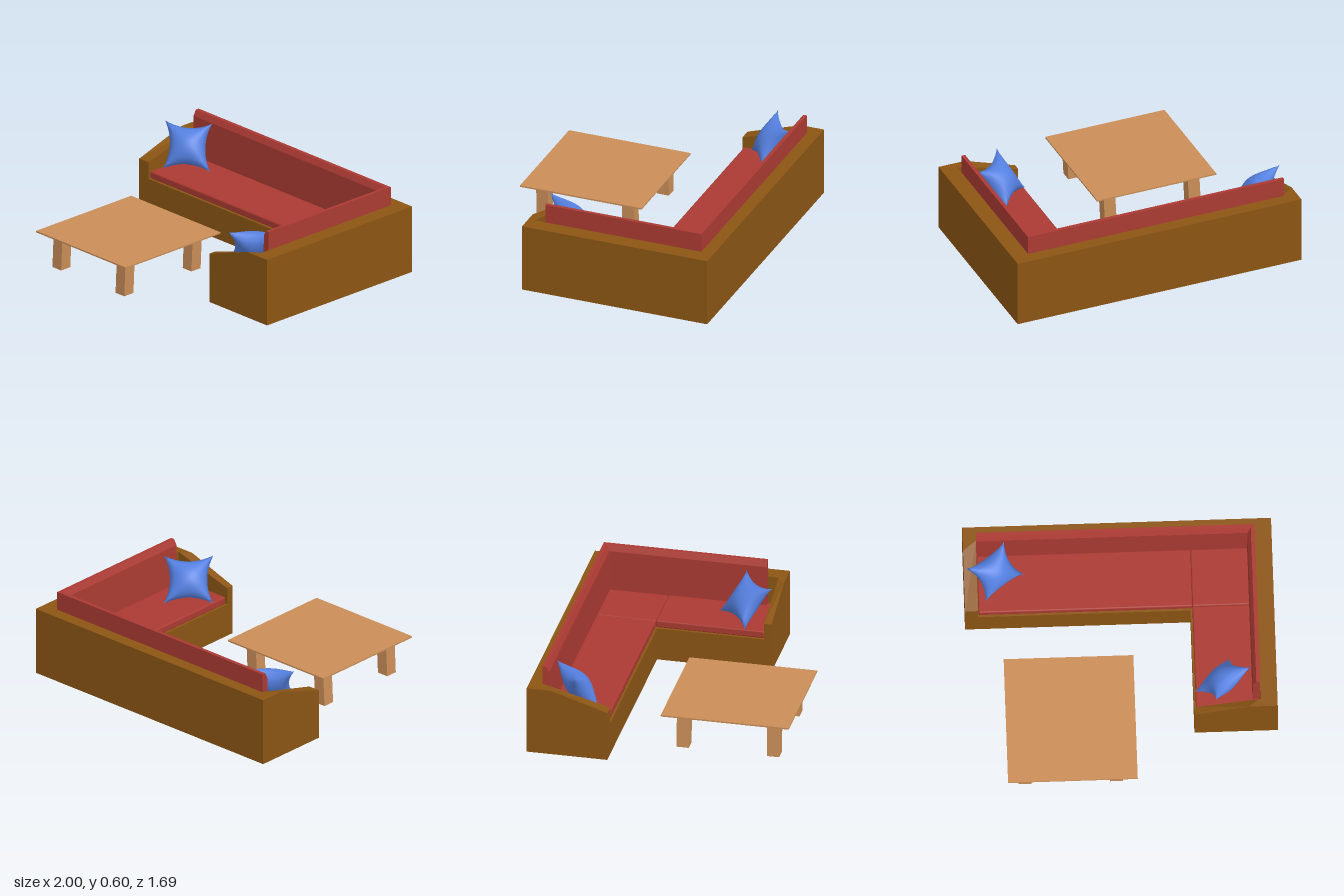
import * as THREE from 'three';
import { mergeGeometries, mergeVertices } from 'three/addons/utils/BufferGeometryUtils.js';
import { RoundedBoxGeometry } from 'three/addons/geometries/RoundedBoxGeometry.js';

const material = (color) => new THREE.MeshStandardMaterial({ color });
const wood = material(0x8b5514);
const fabric = material(0xaa3a32);
const pillowCloth = material(0x5580e0);
const tableWood = material(0xca8e58);

function add(parent, name, geometry, mat) {
  const mesh = new THREE.Mesh(geometry, mat);
  mesh.name = name;
  parent.add(mesh);
  return mesh;
}

const shapeOf = (points) => new THREE.Shape(points.map(([x, y]) => new THREE.Vector2(x, y)));

// Floor outline of [x, z] points raised from y0 to y1
function slab(points, y0, y1) {
  return new THREE.ExtrudeGeometry(shapeOf(points.map(([x, z]) => [x, -z])), { depth: y1 - y0, bevelEnabled: false })
    .rotateX(-Math.PI / 2).translate(0, y0, 0);
}

// Upright profile of [distance from wall, height]; 'z' faces +z and runs to -x, 'x' faces -x and runs to -z
function upright(points, depth, facing, origin, adjust) {
  const geo = new THREE.ExtrudeGeometry(shapeOf(points), { depth, bevelEnabled: false });
  if (adjust) {
    adjust(geo.attributes.position);
    geo.computeVertexNormals();
  }
  return geo.rotateY(facing === 'z' ? -Math.PI / 2 : Math.PI).translate(...origin);
}

// Armrest with a sloping top whose upper edge runs back towards the inner side
function armrest(length, depth, facing, origin, innerAt) {
  const breakAt = 0.075;
  const profile = [[0, 0], [length, 0], [length, 0.115], [breakAt, 0.235], [0, 0.235]];
  return upright(profile, depth, facing, origin, (p) => {
    for (let i = 0; i < p.count; i++) {
      const isBreak = Math.abs(p.getX(i) - breakAt) < 1e-4;
      if (isBreak && Math.abs(p.getZ(i) - innerAt) < 1e-4) p.setX(i, 0.008);
    }
  });
}

// Seat cushion between floor limits
function cushion(x0, x1, z0, z1) {
  return new RoundedBoxGeometry(x1 - x0, 0.05, z1 - z0, 2, 0.01)
    .translate((x0 + x1) / 2, 0.265, (z0 + z1) / 2);
}

// Plump pillow with pinched edges; across and up are its side vectors
function pillow(centre, across, up) {
  const n = 16;
  const halves = [1, -1].map((side) => {
    const g = new THREE.PlaneGeometry(2, 2, n, n);
    if (side < 0) g.rotateY(Math.PI);
    const p = g.attributes.position;
    for (let i = 0; i < p.count; i++) {
      const s = p.getX(i), t = p.getY(i);
      const a = Math.max(0, 1 - s * s), b = Math.max(0, 1 - t * t);
      p.setXYZ(i, 0.5 * s * (1 - 0.24 * b), 0.5 * t * (1 - 0.24 * a), side * 0.08 * Math.pow(a * b, 0.6));
    }
    g.deleteAttribute('uv');
    g.deleteAttribute('normal');
    return g;
  });
  const u = new THREE.Vector3(...across), v = new THREE.Vector3(...up);
  const w = u.clone().cross(v).normalize();
  const m = new THREE.Matrix4().makeBasis(u, v, w).setPosition(...centre);
  const geo = mergeVertices(mergeGeometries(halves).applyMatrix4(m), 1e-4);
  geo.computeVertexNormals();
  return geo;
}

export function createModel() {
  const model = new THREE.Group();
  model.name = 'cornerSofaAndTable';

  // Wooden corner frame
  const sofa = new THREE.Group();
  sofa.name = 'cornerSofa';
  model.add(sofa);
  add(sofa, 'base', slab([[-1, -0.845], [1, -0.845], [1, 0.45], [0.46, 0.45], [0.46, -0.31], [-1, -0.31]], 0.015, 0.24), wood);
  add(sofa, 'backWall', slab([[-1, -0.845], [1, -0.845], [1, 0.45], [0.89, 0.45], [0.89, -0.76], [-1, -0.76]], 0.24, 0.475), wood);
  add(sofa, 'rightArmrest', armrest(0.45, 0.085, 'z', [-0.915, 0.24, -0.76], 0), wood);
  add(sofa, 'leftArmrest', armrest(0.43, 0.05, 'x', [0.89, 0.24, 0.45], 0.05), wood);

  // Seat cushions
  add(sofa, 'longSeatCushion', cushion(-0.912, 0.473, -0.715, -0.322), fabric);
  add(sofa, 'cornerSeatCushion', cushion(0.473, 0.845, -0.715, -0.322), fabric);
  add(sofa, 'sideSeatCushion', cushion(0.473, 0.88, -0.322, 0.398), fabric);

  // Back cushions with a chamfered top edge
  const backProfile = [[0, 0], [0.05, 0], [0.046, 0.325], [0.025, 0.362], [0, 0.362]];
  add(sofa, 'longBackCushion', upright(backProfile, 1.805, 'z', [0.89, 0.24, -0.76]), fabric);
  add(sofa, 'sideBackCushion', upright(backProfile, 1.09, 'x', [0.89, 0.24, 0.33]), fabric);

  // Loose pillows
  add(sofa, 'rightPillow', pillow([-0.798, 0.435, -0.55], [0.25, 0, -0.18], [-0.122, 0.26, -0.135]), pillowCloth);
  add(sofa, 'leftPillow', pillow([0.65, 0.415, 0.235], [0.23, 0, -0.22], [0.135, 0.245, 0.15]), pillowCloth);

  // Low table with slightly leaning legs
  const table = new THREE.Group();
  table.name = 'table';
  model.add(table);
  add(table, 'tableTop', new THREE.BoxGeometry(0.84, 0.01, 0.85).translate(-0.34, 0.25, 0.415), tableWood);
  const lean = new THREE.Matrix4().makeShear(0, 0, 0.05, 0, 0, 0);
  for (const x of [-0.648, -0.055]) {
    for (const z of [0.12, 0.72]) {
      const leg = new THREE.BoxGeometry(0.082, 0.246, 0.082).translate(0, 0.123, 0);
      const p = leg.attributes.position;
      for (let i = 0; i < p.count; i++) p.setX(i, p.getX(i) + 0.05 * p.getY(i));
      leg.computeVertexNormals();
      add(table, 'tableLeg', leg.translate(x, 0, z), tableWood);
    }
  }
  return model;
}
